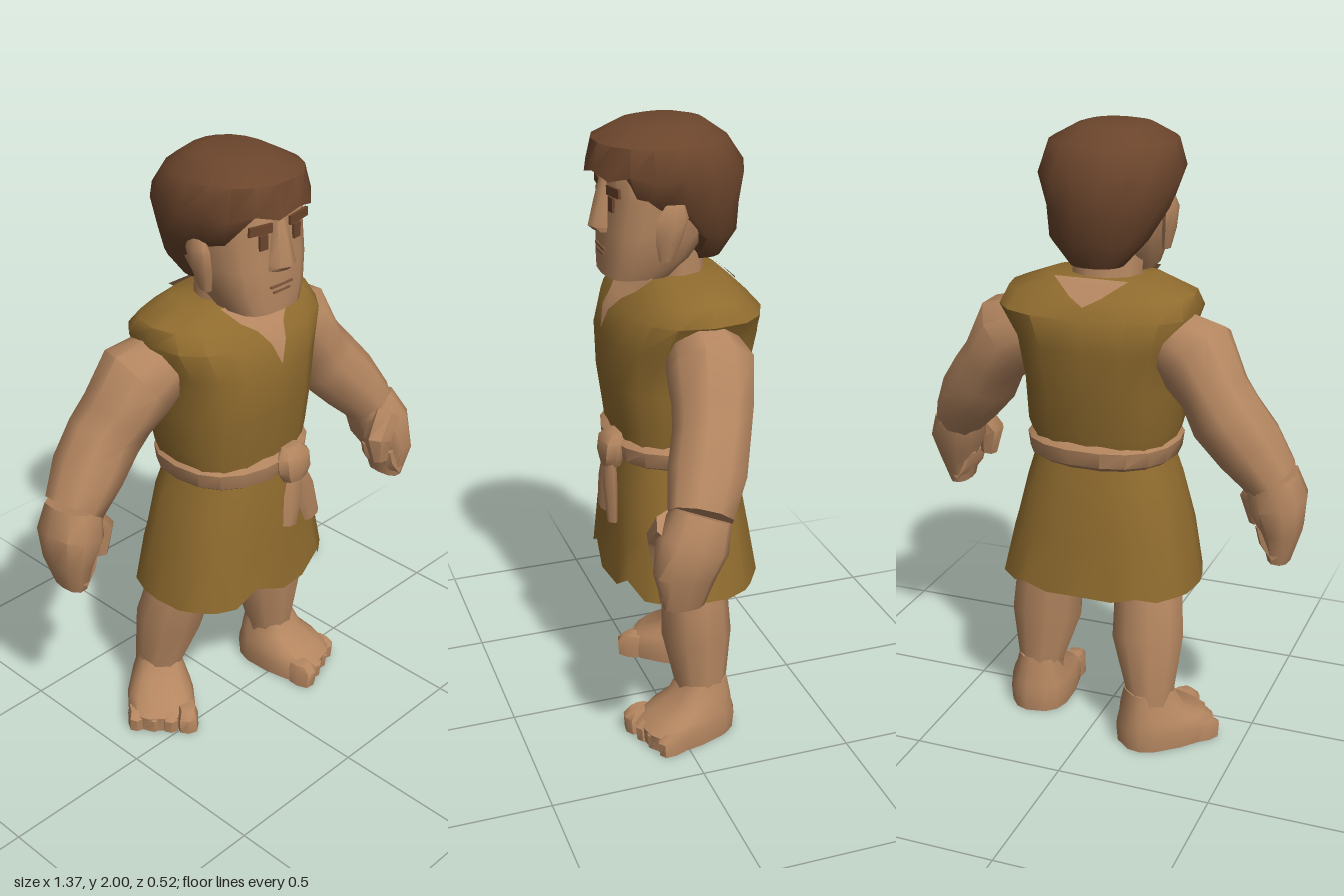
import * as THREE from 'three';
import { toCreasedNormals } from 'three/addons/utils/BufferGeometryUtils.js';

const mat = (name, color, side = THREE.FrontSide) => {
  const m = new THREE.MeshStandardMaterial({ color, side });
  m.name = name;
  return m;
};

// Skin over elliptical sections [x, y, z, radiusA, radiusB] along a path.
// flat keeps the rings level; square < 1 makes them boxier; tweak may move a vertex.
function loft(sections, { n = 10, flat = false, square = 1, caps = true, tweak } = {}) {
  const pos = [], index = [], Z = new THREE.Vector3(0, 0, 1);
  const C = sections.map(s => new THREE.Vector3(s[0], s[1], s[2]));
  const bend = v => Math.sign(v) * Math.pow(Math.abs(v) < 1e-6 ? 0 : Math.abs(v), square);
  C.forEach((c, i) => {
    const T = flat ? new THREE.Vector3(0, 1, 0)
      : C[Math.min(i + 1, C.length - 1)].clone().sub(C[Math.max(i - 1, 0)]).normalize();
    const U = T.clone().cross(Z).normalize(), V = U.clone().cross(T);
    for (let j = 0; j < n; j++) {
      const a = j / n * Math.PI * 2;
      const p = c.clone().addScaledVector(U, sections[i][3] * bend(Math.cos(a)))
        .addScaledVector(V, sections[i][4] * bend(Math.sin(a)));
      if (tweak) tweak(p, i, j);
      pos.push(p.x, p.y, p.z);
    }
  });
  const last = (C.length - 1) * n;
  for (let i = 0; i < C.length - 1; i++) for (let j = 0; j < n; j++) {
    const k = (j + 1) % n, a = i * n + j, c = i * n + k;
    index.push(a, a + n, c, a + n, c + n, c);
  }
  if (caps) {
    const s = pos.length / 3;
    pos.push(...C[0].toArray(), ...C[C.length - 1].toArray());
    for (let j = 0; j < n; j++) {
      const k = (j + 1) % n;
      index.push(s, j, k, s + 1, last + k, last + j);
    }
  }
  return finish(pos, index);
}

function finish(pos, index) {
  const g = new THREE.BufferGeometry();
  g.setAttribute('position', new THREE.Float32BufferAttribute(pos, 3));
  g.setIndex(index);
  return toCreasedNormals(g, 0.85);
}

// Thin V-shaped patch from rows of [y, halfWidth, z]
function neckPatch(rows) {
  const pos = [], index = [];
  rows.forEach(([y, w, z], i) => {
    const d = Math.sign(z + 0.08) * w, a = 2 * i - 2;
    pos.push(-d, y, z, d, y, z);
    if (i) index.push(a, a + 1, a + 2, a + 1, a + 3, a + 2);
  });
  return finish(pos, index);
}

export function createModel() {
  const skin = mat('skin', 0xb48660), cloth = mat('tunicCloth', 0x8f6b2e, THREE.DoubleSide);
  const hairMat = mat('hairBrown', 0x6b452c), sash = mat('sashCloth', 0xb0835d);
  const line = mat('mouthLine', 0x80583f), skinOpen = mat('neckSkin', 0xb48660, THREE.DoubleSide);
  const model = new THREE.Group();
  const add = (name, geo, material, parent = model) => {
    const m = new THREE.Mesh(geo, material);
    m.name = name;
    parent.add(m);
    return m;
  };

  // Tunic: bodice with broad shoulders, and a ragged skirt
  add('tunicBodice', loft([
    [0, 0.96, -0.05, 0.215, 0.185], [0, 1.06, -0.06, 0.245, 0.205], [0, 1.2, -0.06, 0.25, 0.225],
    [0, 1.34, -0.072, 0.268, 0.24], [0.008, 1.44, -0.085, 0.32, 0.222],
    [0.005, 1.495, -0.085, 0.3, 0.165], [0, 1.54, -0.08, 0.18, 0.12]
  ], { n: 16, flat: true, square: 0.75 }), cloth);
  const notch = { 4: 0.055, 7: 0.055, 16: 0.02, 20: 0.02 };
  add('tunicSkirt', loft([
    [0.01, 0.52, -0.065, 0.335, 0.248], [0.005, 0.7, -0.06, 0.3, 0.228],
    [0.005, 0.86, -0.055, 0.252, 0.207], [0.01, 0.97, -0.05, 0.215, 0.185]
  ], { n: 24, flat: true, square: 0.8, caps: false, tweak: (p, i, j) => {
    if (i === 0) p.y += notch[j] ?? (j % 2 ? 0 : 0.01);
    if (i < 2 && j % 2) { p.x *= 0.975; p.z = -0.06 + (p.z + 0.06) * 0.96; }
  } }), cloth);

  // Open neckline, a deep V in front and a shallow one behind
  add('neckOpening', neckPatch([[1.36, 0, 0.17], [1.43, 0.03, 0.153], [1.47, 0.055, 0.118],
    [1.5, 0.1, 0.088], [1.547, 0.14, 0.045]]), skinOpen);
  add('napeOpening', neckPatch([[1.475, 0, -0.275], [1.5, 0.05, -0.253], [1.547, 0.12, -0.2]]), skinOpen);

  // Sash with knot and two hanging tails
  add('sash', loft([
    [0.005, 0.94, -0.055, 0.215, 0.185], [0.005, 0.96, -0.055, 0.243, 0.213],
    [0.005, 1.01, -0.055, 0.25, 0.218], [0.005, 1.035, -0.055, 0.225, 0.19]
  ], { n: 18, flat: true, square: 0.85 }), sash);
  add('sashKnot', loft([
    [0.065, 0.93, 0.165, 0.045, 0.03], [0.065, 0.965, 0.165, 0.065, 0.038],
    [0.065, 1.015, 0.16, 0.065, 0.036], [0.065, 1.04, 0.15, 0.04, 0.02]
  ], { n: 8, flat: true, square: 0.8 }), sash);
  for (const [x, end] of [[0.035, 0.77], [0.14, 0.76]])
    add('sashTail', loft([
      [0.07, 0.96, 0.17, 0.035, 0.02], [(x + 0.07) / 2, 0.87, 0.178, 0.044, 0.02], [x, end, 0.183, 0.033, 0.014]
    ], { n: 6 }), sash);

  // Head and neck
  const head = new THREE.Group();
  head.name = 'head';
  model.add(head);
  add('neck', loft([[0, 1.48, -0.07, 0.12, 0.1], [0, 1.54, -0.06, 0.115, 0.1], [0, 1.64, -0.05, 0.115, 0.1]],
    { flat: true }), skin, head);
  add('face', loft([
    [0, 1.54, 0.06, 0.12, 0.105], [0, 1.6, 0.03, 0.147, 0.135], [0, 1.68, 0, 0.165, 0.16],
    [0, 1.78, -0.03, 0.17, 0.18], [0, 1.88, -0.04, 0.175, 0.19], [0, 1.94, -0.04, 0.12, 0.13]
  ], { n: 16, flat: true, square: 0.65 }), skin, head);
  add('nose', loft([
    [-0.005, 1.675, 0.15, 0.05, 0.035], [-0.005, 1.69, 0.15, 0.05, 0.052],
    [-0.005, 1.76, 0.145, 0.036, 0.04], [-0.005, 1.85, 0.14, 0.024, 0.02]
  ], { n: 8, flat: true }), skin, head);
  for (const s of [-1, 1]) {
    add('ear', loft([
      [s * 0.168, 1.61, 0.012, 0.014, 0.022], [s * 0.178, 1.67, 0.008, 0.02, 0.04],
      [s * 0.186, 1.74, -0.002, 0.022, 0.05], [s * 0.184, 1.78, -0.01, 0.012, 0.03]
    ], { n: 8, flat: true }), skin, head);
    const brow = add('eyebrow', new THREE.BoxGeometry(0.085, 0.028, 0.009), hairMat, head);
    brow.position.set(s * 0.08, 1.808, 0.146);
    brow.rotation.set(0, s * 0.13, s * 0.05);
    const eye = add('eye', new THREE.BoxGeometry(0.03, 0.045, 0.009), hairMat, head);
    eye.position.set(s * 0.07, 1.768, 0.149);
    eye.rotation.y = s * 0.1;
  }
  for (const [y, w] of [[1.624, 0.09], [1.606, 0.07]])
    add('mouth', new THREE.BoxGeometry(w, 0.006, 0.009), line, head).position.set(-0.005, y, 0.163);

  // Hair: a cap whose hem rises from the nape over the ears to the fringe
  const hem = z => z > 0.1 ? 1.855 : z > 0 ? 1.765 : z > -0.08 ? 1.7 : 1.58;
  add('hair', loft([
    [0, 1.58, -0.145, 0.085, 0.07], [0, 1.66, -0.12, 0.155, 0.14], [-0.01, 1.75, -0.06, 0.19, 0.212],
    [-0.01, 1.865, -0.042, 0.222, 0.242], [-0.01, 1.945, -0.025, 0.195, 0.205], [-0.015, 1.99, -0.035, 0.115, 0.13],
    [-0.015, 2, -0.04, 0.08, 0.08]
  ], { n: 18, flat: true, square: 0.92, tweak: (p, i, j) => {
    p.y = Math.max(p.y, hem(p.z));
    if (i === 3 && j % 2) p.y -= 0.02;
  } }), hairMat, head);

  // Arms: the left reaches forward, the right hangs further back
  const arms = [
    { s: 1, z: [-0.08, -0.075, -0.06, -0.04, 0, 0.045, 0.08, 0.11, 0.11] },
    { s: -1, z: [-0.11, -0.13, -0.155, -0.17, -0.165, -0.155, -0.15, -0.15, -0.15] }
  ];
  const armProfile = [
    [0.2, 1.37, 0.1, 0.1], [0.32, 1.315, 0.135, 0.135], [0.385, 1.22, 0.108, 0.125], [0.43, 1.15, 0.118, 0.118],
    [0.505, 1.06, 0.11, 0.12], [0.575, 0.965, 0.088, 0.1]
  ];
  const handProfile = [
    [0.575, 0.97, 0.08, 0.09], [0.597, 0.89, 0.09, 0.108], [0.613, 0.8, 0.062, 0.092], [0.608, 0.7, 0.034, 0.062]
  ];
  for (const { s, z } of arms) {
    const arm = new THREE.Group();
    arm.name = s > 0 ? 'leftArm' : 'rightArm';
    model.add(arm);
    add('armMuscle', loft(armProfile.map(([x, y, a, b], i) => [s * x, y, z[i], a, b]), { n: 9 }), skin, arm);
    add('fist', loft(handProfile.map(([x, y, a, b], i) => [s * x, y, z[i + 5], a, b]),
      { n: 10, square: 0.8 }), skin, arm);
    // Curled fingertips and thumb on the palm side
    const hz = z[8];
    for (let k = 0; k < 3; k++)
      add('fingertip', loft([
        [s * 0.61, 0.725, hz - 0.045 + k * 0.045, 0.026, 0.028],
        [s * 0.575, 0.77, hz - 0.045 + k * 0.045, 0.026, 0.026],
        [s * 0.56, 0.82, hz - 0.045 + k * 0.045, 0.024, 0.024]
      ], { n: 6 }), skin, arm);
    add('thumb', loft([
      [s * 0.57, 0.945, hz + 0.02, 0.055, 0.055], [s * 0.513, 0.875, hz + 0.035, 0.05, 0.048],
      [s * 0.525, 0.795, hz + 0.04, 0.03, 0.03]
    ], { n: 7 }), skin, arm);
  }

  // Legs and bare feet: the right foot stands back and turns outward
  const legs = [
    { name: 'left', s: 1, turn: 0.2, path: [[0.13, 0.74, -0.06], [0.2, 0.53, -0.07], [0.212, 0.35, -0.075], [0.23, 0.17, -0.085], [0.235, 0.08, -0.09]] },
    { name: 'right', s: -1, turn: -0.7, path: [[-0.12, 0.74, -0.08], [-0.165, 0.53, -0.115], [-0.18, 0.36, -0.16], [-0.205, 0.17, -0.2], [-0.2, 0.08, -0.205]] }
  ];
  const girth = [[0.1, 0.1], [0.115, 0.105], [0.122, 0.113], [0.078, 0.085], [0.08, 0.085]];
  for (const { name, s, turn, path } of legs) {
    add(name + 'Leg', loft(path.map((p, i) => [...p, ...girth[i]])), skin);
    const foot = new THREE.Group();
    foot.name = name + 'Foot';
    foot.position.set(path[4][0], 0, path[4][2]);
    foot.rotation.y = turn;
    model.add(foot);
    // The foot widens towards the toes
    add('footBody', loft([
      [0, 0, 0.06, 0.104, 0.16], [0, 0.055, 0.06, 0.108, 0.165], [0, 0.09, 0.045, 0.1, 0.14],
      [0, 0.13, 0.01, 0.085, 0.1], [0, 0.19, 0, 0.07, 0.078]
    ], { n: 14, flat: true, square: 0.7, tweak: p => { p.x *= 1 + 0.9 * p.z; } }), skin, foot);
    for (let k = 0; k < 4; k++) {
      const h = k ? 0.068 : 0.08, w = k ? 0.028 : 0.036;
      const x = s * (-0.085 + k * 0.058), z = 0.198 - k * 0.01;
      add('toe', loft([[x, 0, z, w, 0.045], [x, h * 0.7, z, w, 0.05], [x, h, z - 0.01, w * 0.75, 0.035]],
        { n: 8, flat: true, square: 0.7 }), skin, foot);
    }
  }
  return model;
}
